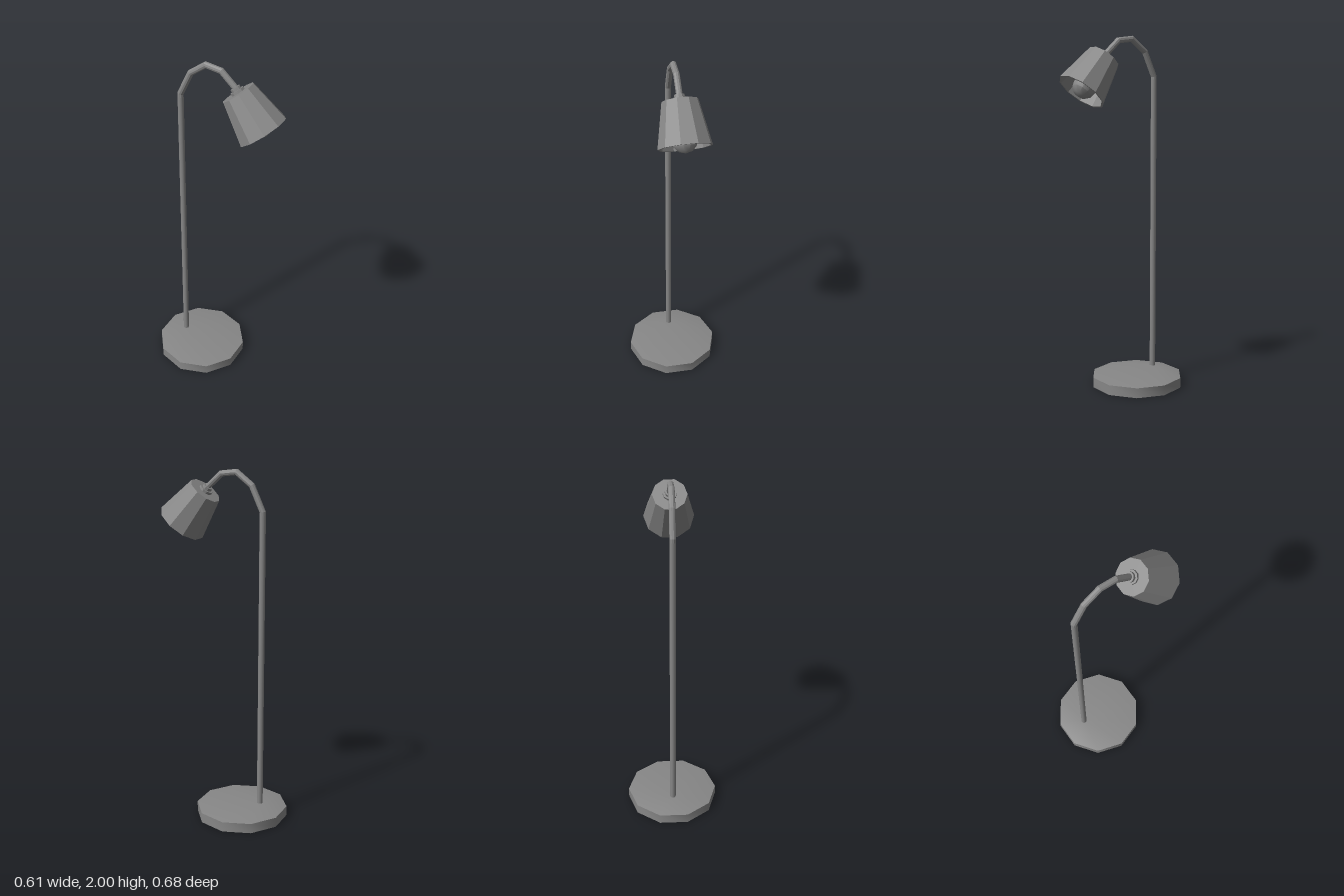
import * as THREE from 'three';
import { toCreasedNormals } from 'three/addons/utils/BufferGeometryUtils.js';

const SIDES = 10;
const CREASE = 0.7;
const color = 0x878787;
const faceted = new THREE.MeshStandardMaterial({ color, flatShading: true, side: THREE.DoubleSide });
const smooth = new THREE.MeshStandardMaterial({ color });

function addMesh(parent, name, geometry, material) {
  const mesh = new THREE.Mesh(geometry, material);
  mesh.name = name;
  parent.add(mesh);
  return mesh;
}

function lathe(profile) {
  return new THREE.LatheGeometry(profile.map(([r, y]) => new THREE.Vector2(r, y)), SIDES);
}

// Round bar with mitred bends, following a path in the xy plane from tip to foot
function bentBar(path, radius) {
  const pts = path.map(([x, y]) => new THREE.Vector2(x, y));
  const n = pts.length - 1;
  const geometry = new THREE.CylinderGeometry(radius, radius, 1, SIDES, n);
  const segment = (i) => pts[i].clone().sub(pts[i + 1]).normalize();
  const across = pts.map((_, i) => {
    const a = segment(Math.max(i - 1, 0));
    const b = segment(Math.min(i, n - 1));
    const t = a.clone().add(b).normalize();
    return new THREE.Vector2(t.y, -t.x).divideScalar(t.dot(a));
  });
  const pos = geometry.attributes.position;
  for (let i = 0; i < pos.count; i++) {
    const row = Math.round((0.5 - pos.getY(i)) * n);
    const p = pts[row].clone().addScaledVector(across[row], pos.getX(i));
    pos.setXY(i, p.x, p.y);
  }
  geometry.computeVertexNormals();
  return geometry;
}

export function createModel() {
  const model = new THREE.Group();
  model.name = 'floorLamp';

  // The lamp is built along local x, with the pole at the local origin
  const lamp = new THREE.Group();
  lamp.name = 'lamp';
  lamp.position.set(-0.107, 0, -0.181);
  lamp.rotation.y = THREE.MathUtils.degToRad(-55);
  model.add(lamp);

  // Weighted foot, its peak pulled back under the pole
  const offset = 0.115;
  const footGeometry = lathe([[0, 0], [0.264, 0], [0.264, 0.057], [0, 0.092]]);
  const pos = footGeometry.attributes.position;
  for (let i = 0; i < pos.count; i++) {
    if (pos.getY(i) > 0.08) pos.setX(i, pos.getX(i) - offset);
  }
  addMesh(lamp, 'base', toCreasedNormals(footGeometry, CREASE), smooth).position.x = offset;

  // Straight pole
  const poleFoot = 0.08;
  const poleTop = 1.76;
  const poleGeometry = new THREE.CylinderGeometry(0.017, 0.017, poleTop - poleFoot, SIDES);
  addMesh(lamp, 'pole', poleGeometry, smooth).position.y = (poleTop + poleFoot) / 2;

  // Curved neck
  addMesh(lamp, 'neck', bentBar([
    [0.327, 1.898], [0.245, 1.972], [0.155, 1.983], [0.064, 1.915], [0, 1.778], [0, poleTop],
  ], 0.017), faceted);

  // Tilted head: local y runs along the shade axis, origin at the shade top
  const head = new THREE.Group();
  head.name = 'head';
  head.position.set(0.342, 1.877, 0);
  head.rotation.z = 0.674;
  lamp.add(head);

  // Hollow shade with a closed top
  addMesh(head, 'shade', lathe([
    [0, -0.01], [0.085, -0.01], [0.131, -0.236], [0.141, -0.236], [0.094, 0], [0, 0],
  ]), faceted);

  // Stepped collar
  addMesh(head, 'collar', lathe([
    [0.038, -0.004], [0.038, 0.014], [0.027, 0.014], [0.027, 0.03], [0, 0.03],
  ]), faceted);

  // Bulb with its socket
  addMesh(head, 'bulb', toCreasedNormals(lathe([
    [0, -0.266], [0.036, -0.256], [0.06, -0.23], [0.066, -0.196], [0.056, -0.158],
    [0.032, -0.115], [0.024, -0.08], [0.024, -0.008],
  ]), CREASE), smooth);

  return model;
}
